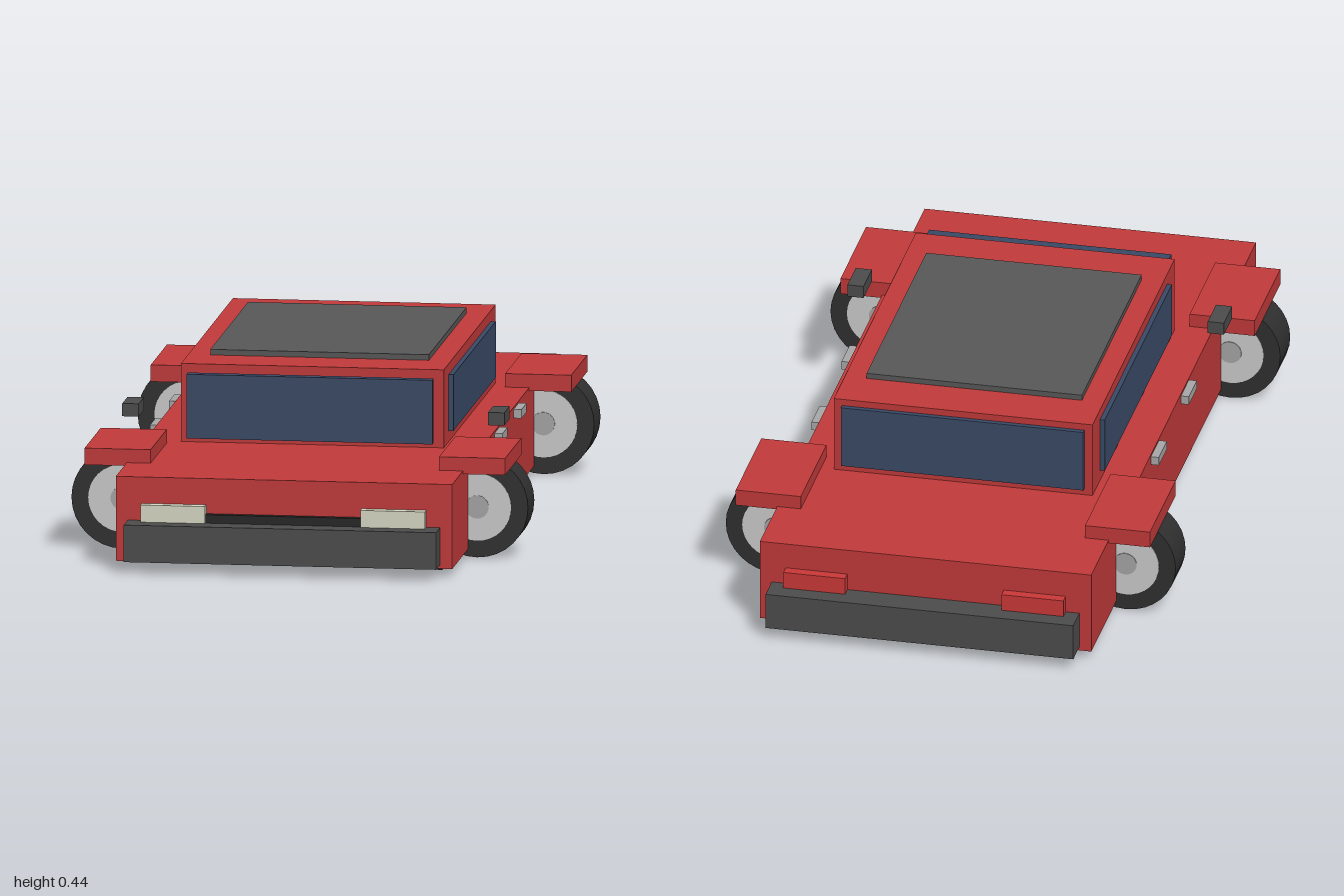
import * as THREE from 'three';

const mat = (color) => new THREE.MeshStandardMaterial({ color });
const M = {
  paint: mat(0xc23a3a), glass: mat(0x3a4a66), trim: mat(0x4c4c4c), roof: mat(0x585858),
  dark: mat(0x262626), tyre: mat(0x303030), rim: mat(0xbcbcc0), cap: mat(0xa6a6a6),
  lamp: mat(0xd8d8c4), tail: mat(0xcc3838), handle: mat(0xa8a8a8),
};

export function createModel() {
  const car = new THREE.Group();
  car.name = 'car';

  // Box given by its minimum and maximum on each axis
  const box = (name, material, [x0, x1], [y0, y1], [z0, z1]) => {
    const mesh = new THREE.Mesh(new THREE.BoxGeometry(x1 - x0, y1 - y0, z1 - z0), material);
    mesh.position.set((x0 + x1) / 2, (y0 + y1) / 2, (z0 + z1) / 2);
    mesh.name = name;
    car.add(mesh);
  };
  // The same box on the left and the right
  const pair = (name, material, [x0, x1], y, z) => {
    box(name + 'Left', material, [x0, x1], y, z);
    box(name + 'Right', material, [-x1, -x0], y, z);
  };

  // Body, underside and cabin
  box('body', M.paint, [-0.42, 0.42], [0.02, 0.232], [-0.93, 0.928]);
  box('underside', M.dark, [-0.39, 0.39], [0.01, 0.03], [-0.888, 0.888]);
  box('cabin', M.paint, [-0.328, 0.328], [0.225, 0.428], [-0.506, 0.42]);
  box('roofPanel', M.roof, [-0.273, 0.273], [0.42, 0.442], [-0.381, 0.292]);

  // Windows
  box('windscreen', M.glass, [-0.307, 0.307], [0.25, 0.411], [0.45, 0.476]);
  box('rearWindow', M.glass, [-0.307, 0.307], [0.25, 0.411], [-0.519, -0.493]);
  pair('sideWindow', M.glass, [0.315, 0.34], [0.26, 0.401], [-0.422, 0.335]);

  // Bumpers, lamps and grille
  box('frontBumper', M.trim, [-0.39, 0.39], [0.03, 0.123], [0.925, 1]);
  box('rearBumper', M.trim, [-0.39, 0.39], [0.03, 0.123], [-1, -0.925]);
  box('grille', M.dark, [-0.2, 0.2], [0.06, 0.144], [0.91, 0.945]);
  pair('headlight', M.lamp, [0.194, 0.355], [0.1, 0.166], [0.91, 0.953]);
  pair('tailLight', M.tail, [0.198, 0.355], [0.1, 0.166], [-0.956, -0.91]);

  // Mirrors and door handles
  pair('mirror', M.trim, [0.436, 0.477], [0.289, 0.321], [0.311, 0.405]);
  pair('frontHandle', M.handle, [0.41, 0.44], [0.205, 0.227], [0.081, 0.171]);
  pair('rearHandle', M.handle, [0.41, 0.44], [0.205, 0.227], [-0.258, -0.167]);

  // Wheels, turned to face front and back, with a flat wing above each
  const disc = (name, material, radius, width) => {
    const geometry = new THREE.CylinderGeometry(radius, radius, width, 32).rotateX(Math.PI / 2);
    const mesh = new THREE.Mesh(geometry, material);
    mesh.name = name;
    return mesh;
  };
  for (const [end, z] of [['front', 0.59], ['rear', -0.591]]) {
    pair(end + 'Wing', M.paint, [0.36, 0.525], [0.224, 0.266], [z - 0.144, z + 0.144]);
    for (const side of [1, -1]) {
      const wheel = new THREE.Group();
      wheel.name = end + 'Wheel' + (side > 0 ? 'Left' : 'Right');
      wheel.add(
        disc('tyre', M.tyre, 0.127, 0.112),
        disc('rim', M.rim, 0.085, 0.116),
        disc('hubCap', M.cap, 0.029, 0.12),
      );
      wheel.position.set(side * 0.443, 0.127, z);
      car.add(wheel);
    }
  }
  return car;
}
